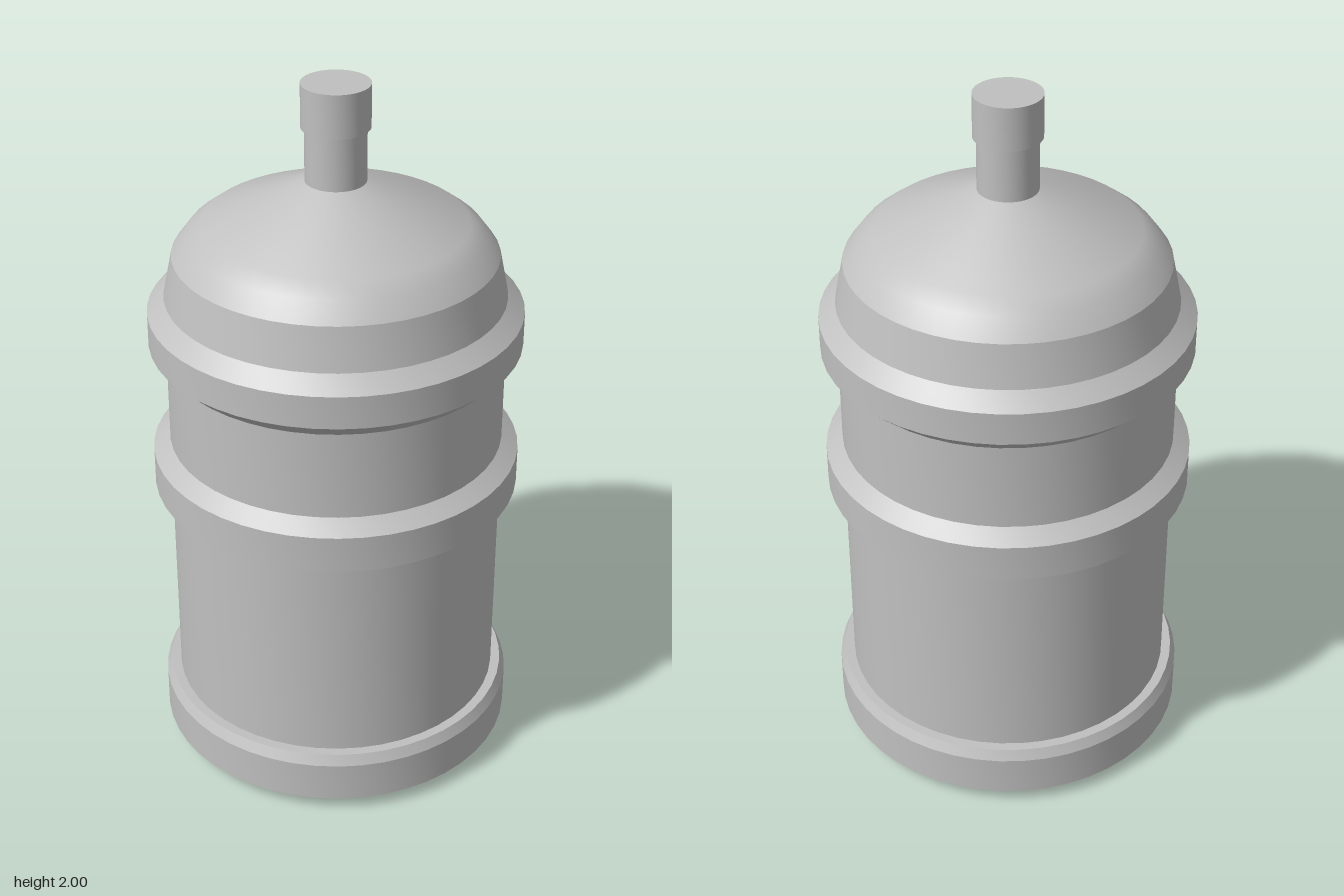
import * as THREE from 'three';
import { toCreasedNormals } from 'three/addons/utils/BufferGeometryUtils.js';

const SEGMENTS = 48;

export function createModel() {
  const model = new THREE.Group();
  model.name = 'waterBottle';
  const grey = new THREE.MeshStandardMaterial({ color: 0xc0c0c0 });
  grey.name = 'grey plastic';

  // Revolve a [radius, height] profile, keeping its rims sharp
  function turned(name, profile) {
    const points = profile.map(([r, y]) => new THREE.Vector2(r, y));
    const geometry = toCreasedNormals(new THREE.LatheGeometry(points, SEGMENTS), 0.35);
    const mesh = new THREE.Mesh(geometry, grey);
    mesh.name = name;
    model.add(mesh);
  }

  const wall = 0.468, rib = 0.515;

  // Raised band with sloping edges
  const band = (y0, y1, y2, y3) => [[wall, y0], [rib, y1], [rib, y2], [wall, y3]];

  // Body: recessed base, foot, two ribs, shoulder and neck
  turned('bottleBody', [
    [0, 0.057], [0.153, 0.057], [0.457, 0],
    [0.51, 0.042], [0.51, 0.16], [0.495, 0.19], [wall, 0.19],
    ...band(0.8, 0.832, 0.937, 0.972),
    ...band(1.226, 1.27, 1.363, 1.405),
    [0.443, 1.525], [0.402, 1.58], [0.36, 1.612],
    [0.083, 1.73], [0.083, 1.89],
  ]);

  // Cap over the neck
  turned('cap', [[0.08, 1.88], [0.093, 1.88], [0.093, 2], [0, 2]]);

  return model;
}
